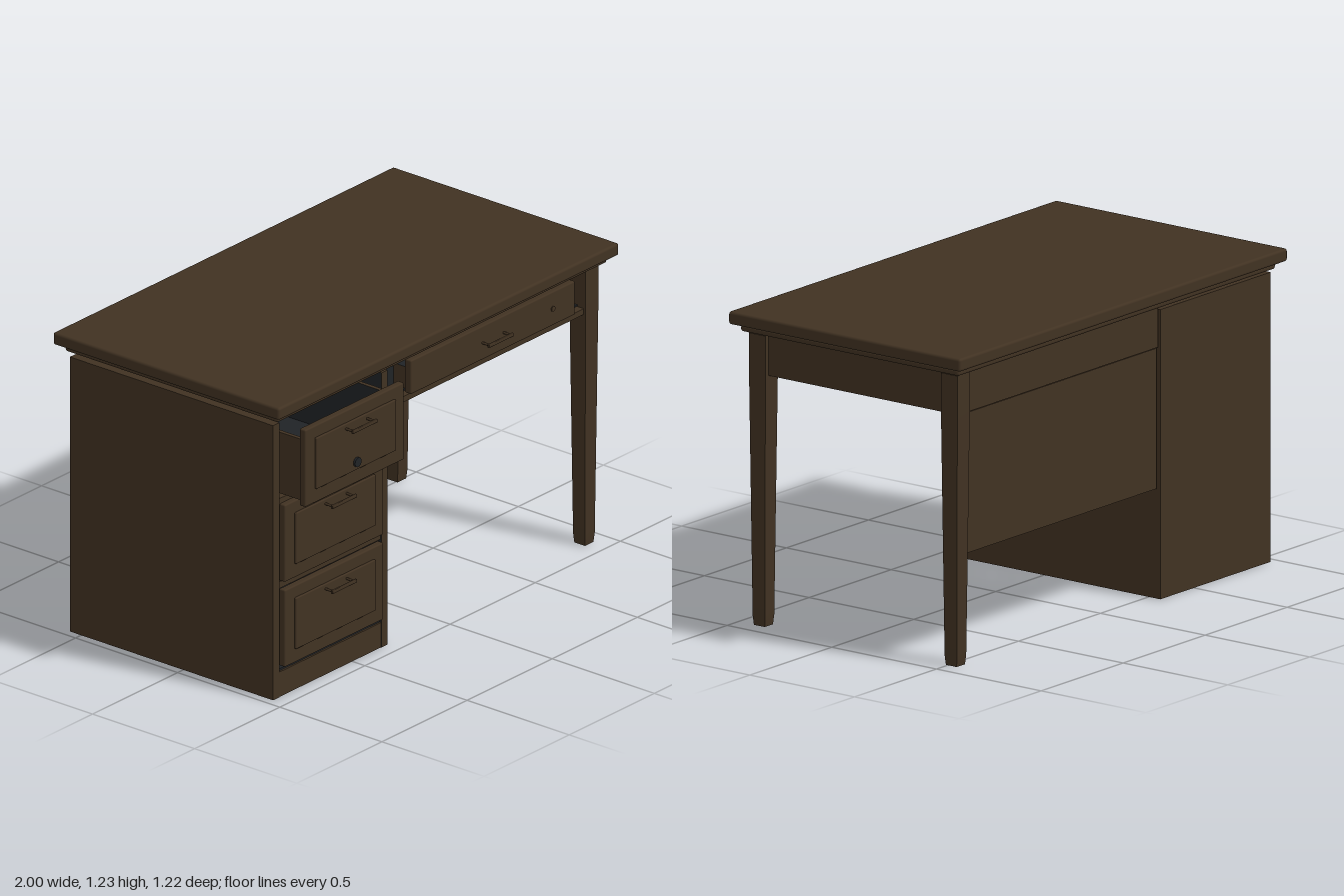
import * as THREE from 'three';
import { RoundedBoxGeometry } from 'three/addons/geometries/RoundedBoxGeometry.js';

export function createModel() {
  const desk = new THREE.Group();
  desk.name = 'desk';
  const wood = new THREE.MeshStandardMaterial({ color: 0x413222 });
  wood.name = 'dark brown wood';
  const dark = new THREE.MeshStandardMaterial({ color: 0x202326 });
  dark.name = 'dark interior';

  const add = (name, geometry, material, parent = desk) => {
    const mesh = new THREE.Mesh(geometry, material);
    mesh.name = name;
    parent.add(mesh);
    return mesh;
  };
  // Box from its limits; faces listed in darkFaces (+x,-x,+y,-y,+z,-z = 0..5) are dark
  const box = (name, [x0, x1], [y0, y1], [z0, z1], { radius = 0, darkFaces = [], material = wood, parent = desk } = {}) => {
    const size = [x1 - x0, y1 - y0, z1 - z0];
    const g = radius ? new RoundedBoxGeometry(...size, 2, radius) : new THREE.BoxGeometry(...size);
    g.translate((x0 + x1) / 2, (y0 + y1) / 2, (z0 + z1) / 2);
    const mats = darkFaces.length ? [0, 1, 2, 3, 4, 5].map(i => (darkFaces.includes(i) ? dark : wood)) : material;
    return add(name, g, mats, parent);
  };

  // Two-step top
  box('desktop', [-1, 1], [1.176, 1.226], [-0.612, 0.495], { radius: 0.01 });
  box('topMoulding', [-0.968, 0.968], [1.147, 1.173], [-0.58, 0.463], { radius: 0.01 });

  // Pedestal case, open underneath
  const H = 1.13;
  box('pedestalOuterSide', [-0.967, -0.93], [0, H], [-0.555, 0.44], { darkFaces: [0] });
  box('pedestalInnerSide', [-0.33, -0.295], [0, H], [-0.555, 0.44], { darkFaces: [1] });
  box('pedestalBack', [-0.93, -0.33], [0, H], [-0.555, -0.525], { darkFaces: [4] });
  box('pedestalPlinth', [-0.93, -0.33], [0, 0.102], [0.405, 0.438], { darkFaces: [5] });
  box('pedestalFloor', [-0.93, -0.33], [0.1, 0.11], [-0.525, 0.43], { material: dark });
  for (const y of [0.458, 0.80]) {
    box('pedestalRail', [-0.93, -0.33], [y - 0.014, y + 0.014], [0.39, 0.435]);
    box('pedestalShelf', [-0.93, -0.33], [y - 0.014, y + 0.005], [-0.525, 0.39], { material: dark });
  }

  // Bar handle on two posts
  const handle = (x, y, z, parent) => {
    const g = new THREE.Group();
    g.name = 'handle';
    g.position.set(x, y, z);
    parent.add(g);
    box('handleBar', [-0.073, 0.073], [-0.007, 0.007], [0.034, 0.044], { radius: 0.003, parent: g });
    for (const s of [-1, 1]) {
      const post = add('handlePost', new THREE.CylinderGeometry(0.005, 0.005, 0.04, 10), wood, g);
      post.rotation.x = Math.PI / 2;
      post.position.set(s * 0.062, 0, 0.018);
    }
  };
  const lock = (x, y, z, r, parent, material = wood) => {
    const m = add('lock', new THREE.CylinderGeometry(r, r, 0.016, 20), material, parent);
    m.rotation.x = Math.PI / 2;
    m.position.set(x, y, z);
  };

  // Pedestal drawers: raised panel fronts, the upper one pulled out
  [[0.812, 0.56], [0.475, 0.46], [0.125, 0.46]].forEach(([y, z], i) => {
    const drawer = new THREE.Group();
    drawer.name = 'pedestalDrawer' + (i + 1);
    desk.add(drawer);
    const opt = { parent: drawer };
    box('drawerFront', [-0.922, -0.342], [y, y + 0.317], [z - 0.03, z], { radius: 0.006, ...opt });
    box('drawerPanel', [-0.866, -0.398], [y + 0.058, y + 0.268], [z - 0.005, z + 0.009], { radius: 0.004, ...opt });
    const back = z - 0.88, front = z - 0.03;
    const ys = [y + 0.017, y + 0.268];
    box('drawerSide', [-0.91, -0.893], ys, [back, front], { darkFaces: [0], ...opt });
    box('drawerSide', [-0.371, -0.354], ys, [back, front], { darkFaces: [1], ...opt });
    box('drawerBack', [-0.893, -0.371], ys, [back, back + 0.015], { darkFaces: [4], ...opt });
    box('drawerBottom', [-0.893, -0.371], [y + 0.02, y + 0.03], [back, front], { material: dark, ...opt });
    handle(-0.632, y + 0.249, z + 0.009, drawer);
    if (i === 0) lock(-0.632, y + 0.092, z + 0.01, 0.019, drawer, dark);
  });

  // Square legs, tapered toward the foot with a chamfered end
  for (const z of [0.4, -0.517]) {
    const g = new THREE.BoxGeometry(0.076, 1.14, 0.078, 1, 30, 1);
    g.translate(0, 0.57, 0);
    const p = g.attributes.position;
    for (let i = 0; i < p.count; i++) {
      const y = p.getY(i);
      const k = y < 0.01 ? 0.66 : 0.74 + 0.26 * Math.min(1, y / 0.98);
      p.setX(i, p.getX(i) * k);
      p.setZ(i, p.getZ(i) * k);
    }
    g.computeVertexNormals();
    add(z > 0 ? 'frontLeg' : 'backLeg', g, wood).position.set(0.906, 0, z);
  }

  // Aprons, back panel and front rail of the kneehole
  box('sideApron', [0.885, 0.925], [0.982, 1.138], [-0.482, 0.365], { darkFaces: [1] });
  box('backApron', [-0.288, 0.87], [0.984, 1.138], [-0.55, -0.515], { darkFaces: [4] });
  box('modestyPanel', [-0.285, 0.875], [0.432, 0.98], [-0.545, -0.52]);
  box('frontRail', [-0.288, 0.87], [0.958, 0.982], [0.385, 0.43]);

  // Dark cavity around the middle drawer
  box('kneeholeCeiling', [-0.288, 0.885], [0.984, 0.99], [-0.515, 0.4], { material: dark });
  for (const xs of [[-0.288, -0.165], [0.775, 0.87]])
    box('cavityBack', xs, [0.99, 1.135], [0.352, 0.36], { material: dark });

  // Middle drawer
  box('middleDrawerFront', [-0.178, 0.787], [0.993, 1.132], [0.425, 0.457], { radius: 0.006 });
  box('middleDrawerBox', [-0.16, 0.77], [1.0, 1.09], [-0.35, 0.425], { darkFaces: [2] });
  handle(0.304, 1.063, 0.455, desk);
  lock(0.655, 1.063, 0.453, 0.011, desk);

  return desk;
}
